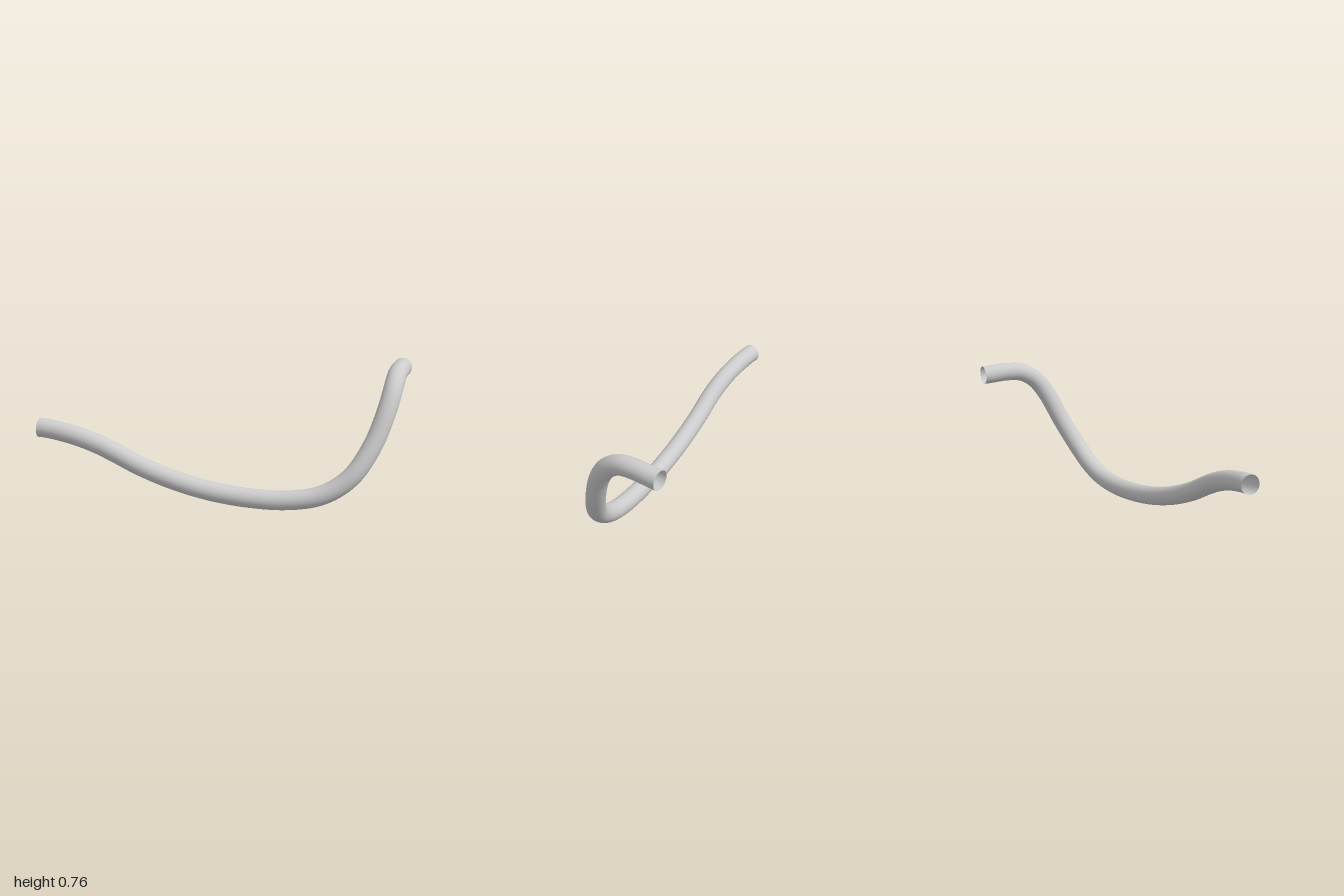
import * as THREE from 'three';

// Centre line of the bent pipe, from its right end to its rear end
const PATH = [
  [-1, 0.4, 0.337], [-0.96, 0.399, 0.338], [-0.8, 0.373, 0.343], [-0.66, 0.332, 0.344],
  [-0.55, 0.285, 0.342], [-0.4, 0.212, 0.33], [-0.2, 0.138, 0.313], [0, 0.088, 0.294],
  [0.2, 0.061, 0.272], [0.4, 0.056, 0.248], [0.57, 0.083, 0.223], [0.68, 0.137, 0.198],
  [0.77, 0.22, 0.165], [0.86, 0.38, 0.092], [0.917, 0.56, 0.008], [0.934, 0.65, -0.06],
  [0.94, 0.7, -0.145], [0.943, 0.711, -0.24], [0.943, 0.703, -0.36], [0.943, 0.701, -0.4],
];
const RADIUS = 0.054;

export function createModel() {
  const model = new THREE.Group();
  model.name = 'bentPipe';

  // Smooth hollow tube, open at both ends
  const curve = new THREE.CatmullRomCurve3(PATH.map((p) => new THREE.Vector3(...p)));
  const pipe = new THREE.Mesh(
    new THREE.TubeGeometry(curve, 160, RADIUS, 32, false),
    new THREE.MeshStandardMaterial({ color: 0xcccccc, side: THREE.DoubleSide }),
  );
  pipe.name = 'pipe';
  model.add(pipe);
  return model;
}
